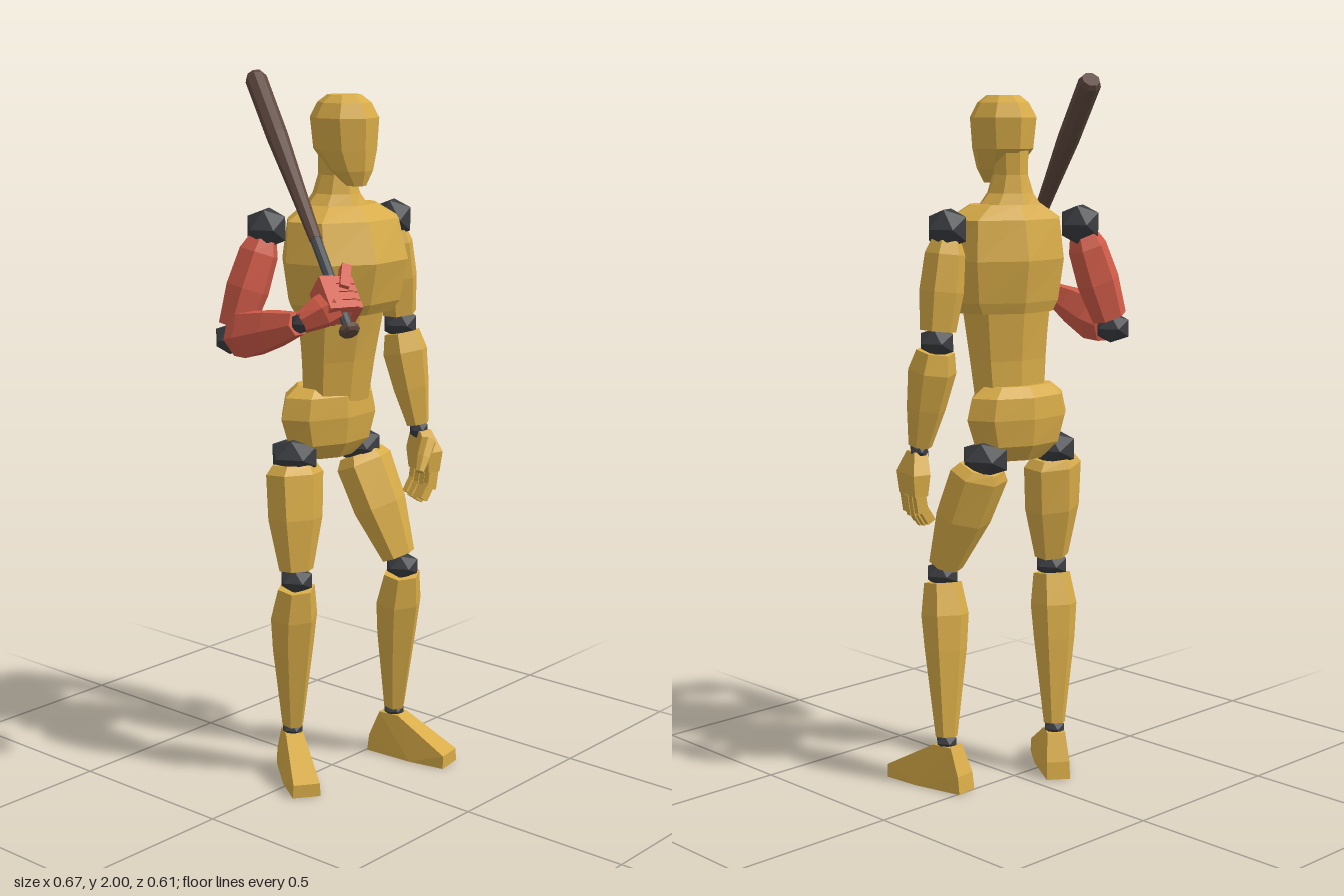
import * as THREE from 'three';
import { ConvexGeometry } from 'three/addons/geometries/ConvexGeometry.js';

const mat = (color) => new THREE.MeshStandardMaterial({ color, flatShading: true });
const V = (p) => new THREE.Vector3(...p);

export function createModel() {
  const model = new THREE.Group();
  const gold = mat(0xd8ac48), dark = mat(0x3b3d41), red = mat(0xd25c49);
  const wood = mat(0x604940), grip = mat(0x4c5054);

  const add = (name, geometry, material, parent = model) => {
    const mesh = new THREE.Mesh(geometry, material);
    mesh.name = name;
    parent.add(mesh);
    return mesh;
  };

  // Closed faceted skin over rings [y, rx, rz, zOffset], lowest ring first
  const loft = (rings, sides) => {
    const pos = [], idx = [], last = (rings.length - 1) * sides;
    for (const [y, rx, rz, oz = 0] of rings)
      for (let j = 0; j < sides; j++) {
        const a = (j / sides) * Math.PI * 2;
        pos.push(Math.sin(a) * rx, y, Math.cos(a) * rz + oz);
      }
    for (let i = 0; i < last; i += sides)
      for (let j = 0; j < sides; j++) {
        const a = i + j, b = i + ((j + 1) % sides);
        idx.push(a, b, b + sides, a, b + sides, a + sides);
      }
    for (let j = 1; j < sides - 1; j++) {
      idx.push(0, j + 1, j);
      idx.push(last, last + j, last + j + 1);
    }
    let g = new THREE.BufferGeometry();
    g.setAttribute('position', new THREE.Float32BufferAttribute(pos, 3));
    g.setIndex(idx);
    g = g.toNonIndexed();
    g.computeVertexNormals();
    return g;
  };

  // Places an object at p0 with its y axis towards p1 and its z axis near the hint
  const aim = (object, p0, p1, hint = [0, 0, 1]) => {
    const y = V(p1).sub(V(p0)).normalize();
    const x = y.clone().cross(V(hint)).normalize();
    const z = x.clone().cross(y);
    object.quaternion.setFromRotationMatrix(new THREE.Matrix4().makeBasis(x, y, z));
    object.position.copy(V(p0));
    return object;
  };

  // Tapered six-sided limb; ring heights are fractions of its length
  const limb = (name, p0, p1, rings, material, hint, sides = 6) => {
    const len = V(p0).distanceTo(V(p1));
    const k = sides === 6 ? 1.12 : 1;
    const scaled = rings.map(([t, rx, rz, oz]) => [t * len, rx * k, rz, oz]);
    return aim(add(name, loft(scaled, sides), material), p0, p1, hint);
  };

  const joint = (name, p, r, sy = 1) => {
    const m = add(name, new THREE.IcosahedronGeometry(r, 0), dark);
    m.position.copy(V(p));
    m.scale.y = sy;
    m.rotation.y = 0.5;
  };

  const body = (name, x, z, yaw, rings) => {
    const m = add(name, loft(rings, 8), gold);
    m.position.set(x, 0, z);
    m.rotation.y = yaw;
  };

  const block = (name, size, p, material, parent) => {
    const m = add(name, new THREE.BoxGeometry(...size), material, parent);
    m.position.copy(V(p));
    return m;
  };

  // Torso and head, turned a little to the model's right
  body('pelvis', -0.003, -0.01, -0.2, [
    [0.94, 0.08, 0.05], [0.985, 0.14, 0.08], [1.06, 0.165, 0.09], [1.12, 0.15, 0.085], [1.15, 0.11, 0.06]]);
  body('waist', 0.003, 0.02, -0.25, [
    [1.1, 0.11, 0.065, -0.01], [1.22, 0.122, 0.075], [1.37, 0.14, 0.1, 0.01]]);
  body('chest', 0.012, 0.025, -0.27, [
    [1.355, 0.155, 0.115, 0.005], [1.385, 0.175, 0.13, 0.01], [1.5, 0.192, 0.153, 0.015],
    [1.61, 0.178, 0.122, 0.005], [1.65, 0.11, 0.085, -0.005]]);
  body('neck', 0, 0.015, -0.27, [
    [1.63, 0.11, 0.085], [1.68, 0.066, 0.066], [1.73, 0.048, 0.056], [1.8, 0.05, 0.055]]);
  body('head', -0.002, 0.045, -0.25, [
    [1.705, 0.026, 0.03, 0.055], [1.745, 0.058, 0.066, 0.03], [1.8, 0.082, 0.096, 0.003],
    [1.885, 0.092, 0.1], [1.925, 0.07, 0.08], [1.945, 0.045, 0.05]]);

  // Legs: hip, knee and ankle positions, then foot direction
  const thigh = [[0.07, 0.064, 0.056], [0.14, 0.084, 0.068], [0.5, 0.078, 0.068], [0.92, 0.048, 0.044]];
  const shin = [[0.05, 0.05, 0.052], [0.24, 0.063, 0.066, -0.006], [0.45, 0.056, 0.058, -0.006],
    [0.97, 0.028, 0.032]];
  const legs = [
    ['left', [0.112, 0.95, 0.0], [0.152, 0.605, 0.135], [0.2, 0.135, 0.07], 0.15],
    ['right', [-0.125, 0.955, -0.03], [-0.152, 0.605, 0.0], [-0.11, 0.135, -0.055], -0.63],
  ];
  for (const [side, hip, knee, ankle, yaw] of legs) {
    joint(side + 'Hip', hip, 0.074, 0.75);
    limb(side + 'Thigh', hip, knee, thigh, gold);
    joint(side + 'Knee', knee, 0.052, 0.75);
    limb(side + 'Shin', knee, ankle, shin, gold);
    joint(side + 'Ankle', ankle, 0.034, 0.7);
    // Wedge foot with a low toe
    const pts = [];
    for (const s of [-1, 1]) {
      pts.push([s * 0.034, 0, -0.072], [s * 0.04, 0, 0.19], [s * 0.038, 0.038, 0.19], [s * 0.046, 0, 0.08],
        [s * 0.026, 0.127, -0.035], [s * 0.026, 0.127, 0.028], [s * 0.033, 0.05, -0.066]);
    }
    const foot = add(side + 'Foot', new ConvexGeometry(pts.map(V)), gold);
    foot.position.set(ankle[0], 0, ankle[2]);
    foot.rotation.y = yaw;
  }

  // Arms: the left hangs, the right is bent forward to hold the bat
  const upper = [[0.1, 0.036, 0.042], [0.22, 0.05, 0.056], [0.55, 0.056, 0.06], [0.9, 0.046, 0.048]];
  const fore = [[0.08, 0.05, 0.05], [0.26, 0.062, 0.064], [0.6, 0.05, 0.052], [0.95, 0.03, 0.032]];
  const arms = [
    ['left', [0.222, 1.59, 0.03], [0.258, 1.285, 0.035], [0.272, 0.98, 0.095], gold, [0, 0, 1]],
    ['right', [-0.18, 1.59, -0.08], [-0.27, 1.295, -0.125], [-0.312, 1.375, 0.165], red, [1, 0, 0]],
  ];
  for (const [side, shoulder, elbow, wrist, material, hint] of arms) {
    joint(side + 'Shoulder', shoulder, 0.062);
    limb(side + 'UpperArm', shoulder, elbow, upper, material);
    joint(side + 'Elbow', elbow, 0.054, 0.85);
    limb(side + 'Forearm', elbow, wrist, fore, material, hint);
    joint(side + 'Wrist', wrist, 0.03);
  }

  // Relaxed left hand
  const hand = new THREE.Group();
  hand.name = 'leftHand';
  hand.position.set(0.275, 0.97, 0.1);
  hand.rotation.y = -0.25;
  model.add(hand);
  add('leftPalm', new ConvexGeometry([-1, 1].flatMap((s) => [
    [s * 0.02, 0.01, -0.022], [s * 0.02, 0.01, 0.024], [s * 0.026 + 0.012, -0.05, -0.05],
    [s * 0.026 + 0.012, -0.05, 0.056], [s * 0.02 + 0.012, -0.11, -0.046], [s * 0.02 + 0.012, -0.11, 0.05],
  ]).map(V)), gold, hand);
  for (let i = 0; i < 4; i++) {
    const z = -0.034 + i * 0.024, drop = [0, 0.008, 0.012, 0.004][i];
    block('leftFinger', [0.032, 0.06, 0.021], [0.01, -0.127 - drop, z], gold, hand).rotation.z = -0.15;
    block('leftFingertip', [0.026, 0.05, 0.019], [-0.008, -0.163 - drop, z], gold, hand).rotation.z = -0.55;
  }
  limb('leftThumb', [0.262, 0.955, 0.14], [0.203, 0.875, 0.155],
    [[0, 0.022, 0.022], [0.55, 0.019, 0.02], [1, 0.011, 0.013]], gold);

  // Bat, running from the knob in the fist back over the shoulder
  const knob = [-0.258, 1.353, 0.288], tip = [0.002, 1.985, -0.29];
  limb('batKnob', knob, tip, [[0, 0.02, 0.02], [0.008, 0.028, 0.028], [0.022, 0.027, 0.027], [0.03, 0.016, 0.016]],
    wood, [1, 0, 0], 8);
  limb('batGrip', knob, tip, [[0.02, 0.014, 0.014], [0.36, 0.0155, 0.0155]], grip, [1, 0, 0], 8);
  limb('batBarrel', knob, tip, [[0.345, 0.017, 0.017], [0.55, 0.023, 0.023], [0.75, 0.03, 0.03],
    [0.985, 0.031, 0.031], [1, 0.025, 0.025]], wood, [1, 0, 0], 8);

  // Right fist closed around the grip; local y follows the bat, local z points away from the wrist
  const fist = aim(new THREE.Group(), [-0.226, 1.43, 0.217], tip, [1, 0.1, 0.3]);
  fist.name = 'rightFist';
  model.add(fist);
  block('rightPalm', [0.08, 0.105, 0.04], [0, 0, -0.032], red, fist);
  for (let i = 0; i < 4; i++) {
    const y = -0.039 + i * 0.026;
    for (const s of [-1, 1]) block('rightFinger', [0.022, 0.023, 0.06], [s * 0.027, y, 0.002], red, fist);
    block('rightKnuckle', [0.066, 0.023, 0.024], [0, y, 0.033], red, fist);
  }
  block('rightThumb', [0.03, 0.075, 0.026], [-0.035, 0.045, 0.02], red, fist).rotation.x = 0.4;
  limb('rightHandBack', [-0.312, 1.375, 0.165], [-0.24, 1.42, 0.215],
    [[0, 0.03, 0.03], [0.6, 0.055, 0.045], [1, 0.055, 0.045]], red, [0, 1, 0]);

  return model;
}
